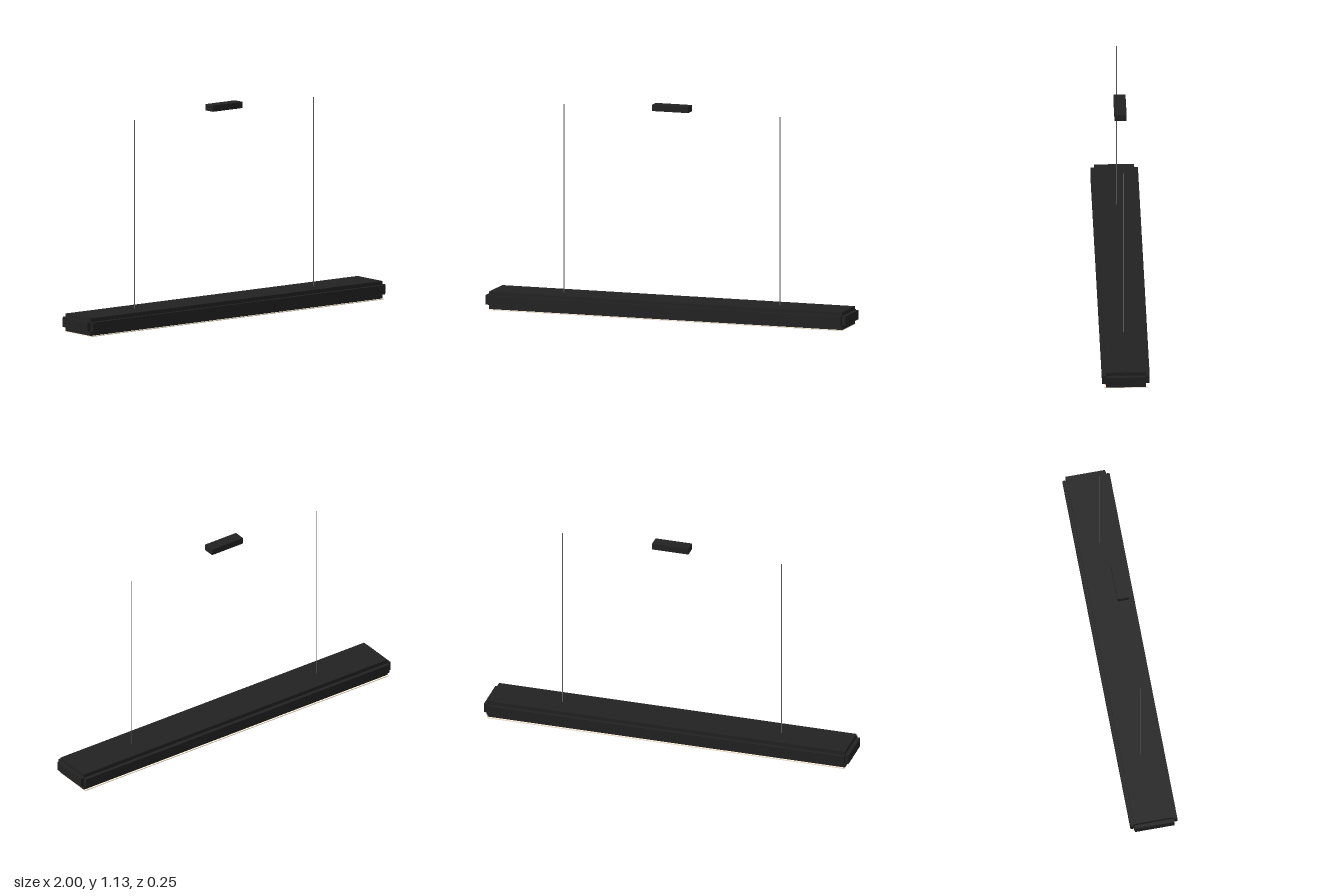
import * as THREE from 'three';

export function createModel() {
  const group = new THREE.Group();
  const black = new THREE.MeshStandardMaterial({ color: 0x222222 });
  const steel = new THREE.MeshStandardMaterial({ color: 0x666670 });
  const glow = new THREE.MeshStandardMaterial({ color: 0xfff2dc });

  const add = (name, geometry, material, x, y, z) => {
    const mesh = new THREE.Mesh(geometry, material);
    mesh.name = name;
    mesh.position.set(x, y, z);
    group.add(mesh);
  };
  // Box given by its width, bottom, top and depth
  const box = (name, w, y0, y1, d, material, x = 0, z = 0) =>
    add(name, new THREE.BoxGeometry(w, y1 - y0, d), material, x, (y0 + y1) / 2, z);

  // Long lamp housing with the light panel beneath it
  box('housing', 1.96, 0.004, 0.097, 0.21, black);
  box('diffuser', 1.96, 0, 0.004, 0.23, glow);

  for (const s of [-1, 1]) {
    // Raised bands along the sides and across the ends
    box('sideRail', 1.96, 0.028, 0.077, 0.02, black, 0, s * 0.115);
    box('endCap', 0.02, 0.028, 0.077, 0.21, black, s * 0.99, 0);
    // Suspension cables
    add('cable', new THREE.CylinderGeometry(0.002, 0.002, 1.003, 8), steel, s * 0.6, 0.5985, 0);
  }

  // Ceiling canopy
  box('canopy', 0.2, 1.097, 1.13, 0.064, black);
  return group;
}
